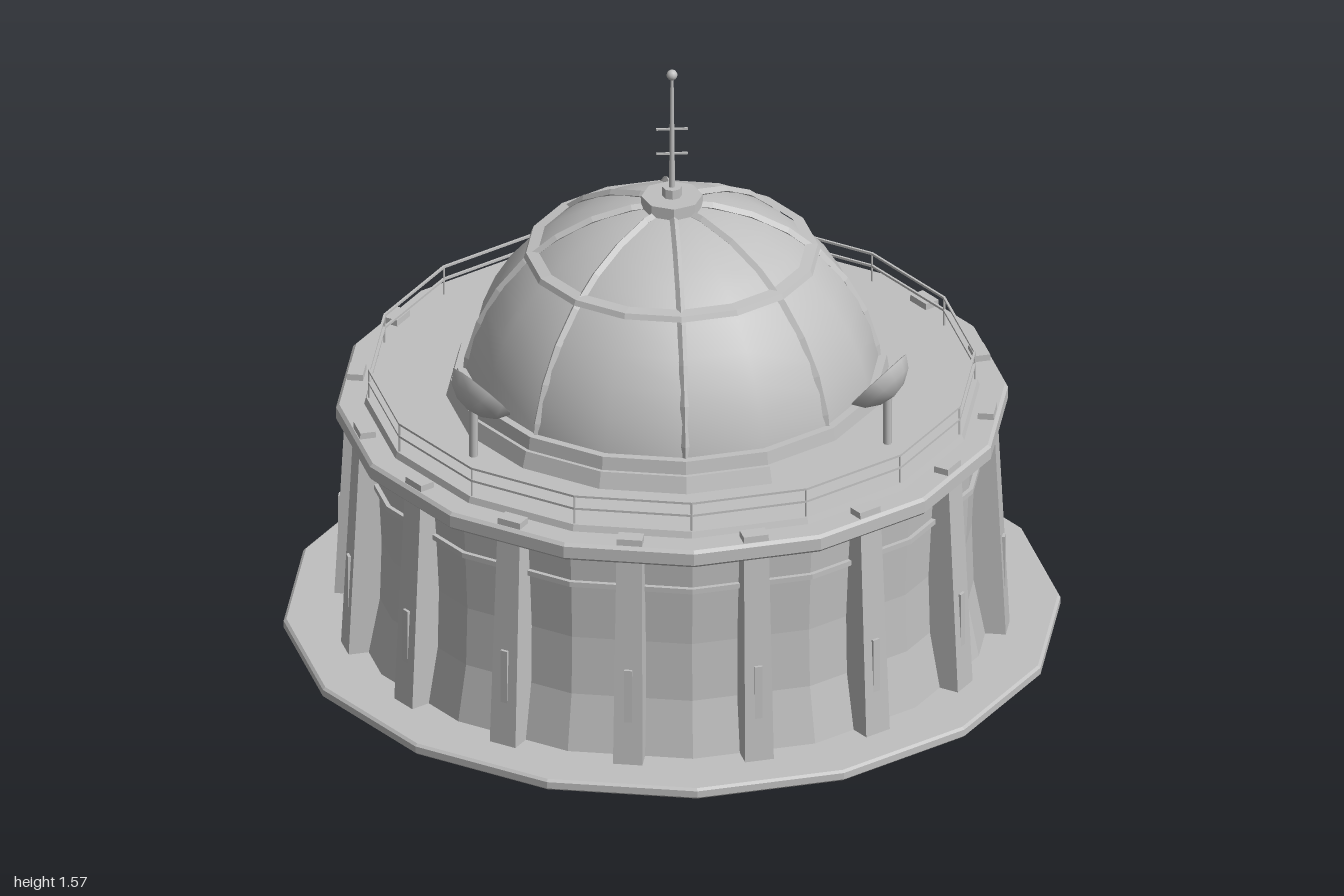
import * as THREE from 'three';

const SIDES = 16;
const concrete = new THREE.MeshStandardMaterial({ color: 0xc0c0c0 });
concrete.name = 'concrete';

function facet(geometry) {
  const g = geometry.index ? geometry.toNonIndexed() : geometry;
  g.computeVertexNormals();
  return g;
}

function part(parent, name, geometry, x = 0, y = 0, z = 0) {
  const mesh = new THREE.Mesh(geometry, concrete);
  mesh.name = name;
  mesh.position.set(x, y, z);
  parent.add(mesh);
  return mesh;
}

// Faceted turned shape; pairs of [radius, height], counterclockwise
function turned(profile) {
  return facet(new THREE.LatheGeometry(profile.map(([r, y]) => new THREE.Vector2(r, y)), SIDES));
}

// Closed ring with a rectangular section
function ring(r0, r1, y0, y1) {
  return turned([[r0, y0], [r1, y0], [r1, y1], [r0, y1], [r0, y0]]);
}

// Box whose bottom and top ends differ: each end is [width, zBack, zFront]
function taperedBox(bottom, top, y0, y1) {
  const g = new THREE.BoxGeometry(1, 1, 1);
  const p = g.attributes.position;
  for (let i = 0; i < p.count; i++) {
    const up = p.getY(i) > 0;
    const [w, back, front] = up ? top : bottom;
    p.setXYZ(i, p.getX(i) * w, up ? y1 : y0, p.getZ(i) > 0 ? front : back);
  }
  return facet(g);
}

// Leaning shaft with a narrow upright fin that emerges from its face
function buildPilaster() {
  const g = new THREE.Group();
  g.name = 'pilaster';
  part(g, 'pilasterShaft', taperedBox([0.075, 0.75, 0.857], [0.065, 0.785, 0.825], 0.03, 0.657));
  part(g, 'pilasterFin', new THREE.BoxGeometry(0.02, 0.2, 0.04), 0, 0.195, 0.831);
  return g;
}

function buildDish(side) {
  const g = new THREE.Group();
  g.name = side > 0 ? 'leftDish' : 'rightDish';
  part(g, 'dishPost', new THREE.CylinderGeometry(0.011, 0.011, 0.14, 8), side * 0.525, 0.725, 0.33);
  // Thin bowl opening up and inward to the dome
  const profile = [[0, -0.03], [0.04, -0.023], [0.075, -0.002], [0.095, 0.028],
    [0.09, 0.03], [0.07, 0.008], [0.037, -0.012], [0, -0.018]];
  const bowl = part(g, 'dishBowl',
    new THREE.LatheGeometry(profile.map(([r, y]) => new THREE.Vector2(r, y)), 12),
    side * 0.522, 0.815, 0.328);
  const aim = new THREE.Vector3(-side * 0.65, 0.65, -0.4).normalize();
  bowl.quaternion.setFromUnitVectors(new THREE.Vector3(0, 1, 0), aim);
  return g;
}

function buildDome() {
  const g = new THREE.Group();
  g.name = 'dome';
  part(g, 'domeSkirt', turned([[0.575, 0.65], [0.56, 0.70], [0.55, 0.70], [0.545, 0.735], [0.5, 0.735]]));
  const shell = new THREE.SphereGeometry(0.53, SIDES, 10, 0, Math.PI * 2, 0, Math.PI / 2);
  part(g, 'domeShell', shell.scale(1, 0.985, 1), 0, 0.66, 0);
  // Meridian ribs, each crossing the whole dome
  for (let i = 0; i < 4; i++) {
    const rib = part(g, 'domeRib', facet(new THREE.TorusGeometry(0.526, 0.011, 4, 16, Math.PI)), 0, 0.66, 0);
    rib.rotation.y = i * Math.PI / 4;
  }
  part(g, 'domeHoop', turned([[0.34, 1.044], [0.376, 1.044], [0.37, 1.058], [0.34, 1.062]]));
  part(g, 'domeCap', facet(new THREE.CylinderGeometry(0.078, 0.078, 0.032, 8)), 0, 1.194, 0);
  part(g, 'antennaFoot', facet(new THREE.CylinderGeometry(0.025, 0.025, 0.027, 8)), 0, 1.222, 0);
  part(g, 'antennaMast', new THREE.CylinderGeometry(0.004, 0.008, 0.33, 8), 0, 1.39, 0);
  part(g, 'antennaTip', new THREE.SphereGeometry(0.014, 10, 8), 0, 1.555, 0);
  for (const y of [1.33, 1.4]) {
    part(g, 'antennaBar', new THREE.BoxGeometry(0.08, 0.005, 0.005), 0, y, 0);
  }
  return g;
}

function buildRailing() {
  const g = new THREE.Group();
  g.name = 'railing';
  for (const y of [0.7, 0.735]) part(g, 'handrail', ring(0.765, 0.771, y - 0.003, y + 0.003));
  for (let i = 0; i < SIDES; i++) {
    const a = i * Math.PI * 2 / SIDES;
    part(g, 'railPost', new THREE.CylinderGeometry(0.003, 0.003, 0.085, 6),
      Math.sin(a) * 0.768, 0.6955, Math.cos(a) * 0.768);
  }
  return g;
}

function buildEntrance() {
  const g = new THREE.Group();
  g.name = 'entrance';
  part(g, 'porch', taperedBox([0.46, -0.7, -0.965].slice(0, 1).concat(-0.965, -0.7), [0.39, -0.945, -0.7], 0.03, 0.49));
  part(g, 'canopy', new THREE.BoxGeometry(0.5, 0.042, 0.058), 0, 0.397, -0.971);
  part(g, 'canopyLip', new THREE.BoxGeometry(0.5, 0.008, 0.01), 0, 0.376, -1.0);
  part(g, 'signPlate', new THREE.BoxGeometry(0.34, 0.09, 0.014), 0, 0.485, -0.968);
  for (const s of [-1, 1]) {
    part(g, 'doorPanel', new THREE.BoxGeometry(0.125, 0.305, 0.014), s * 0.065, 0.19, -0.963);
  }
  return g;
}

export function createModel() {
  const model = new THREE.Group();
  model.name = 'observatory';
  const body = new THREE.Group();
  body.name = 'building';
  body.position.z = 0.01;
  model.add(body);

  part(body, 'basePlate', turned([[0, 0], [0.978, 0], [0.985, 0.006], [0.985, 0.024], [0.978, 0.03], [0, 0.03]]));
  // Flared wall, belt, cornice and roof
  part(body, 'wall', turned([[0.82, 0.03], [0.79, 0.18], [0.785, 0.34], [0.793, 0.5], [0.8, 0.6]]));
  part(body, 'wallBelt', ring(0.77, 0.805, 0.493, 0.507));
  part(body, 'cornice', turned([[0.7, 0.592], [0.844, 0.592], [0.852, 0.6], [0.852, 0.632], [0.844, 0.64], [0.7, 0.64]]));
  part(body, 'roof', facet(new THREE.CylinderGeometry(0.775, 0.785, 0.03, SIDES)), 0, 0.642, 0);

  // Pilasters between wall corners, leaving the back free for the entrance
  for (let i = -6; i < 6; i++) {
    const pilaster = buildPilaster();
    pilaster.rotation.y = (i + 0.5) * Math.PI * 2 / SIDES;
    body.add(pilaster);
  }

  body.add(buildRailing(), buildDome(), buildDish(1), buildDish(-1), buildEntrance());
  return model;
}
